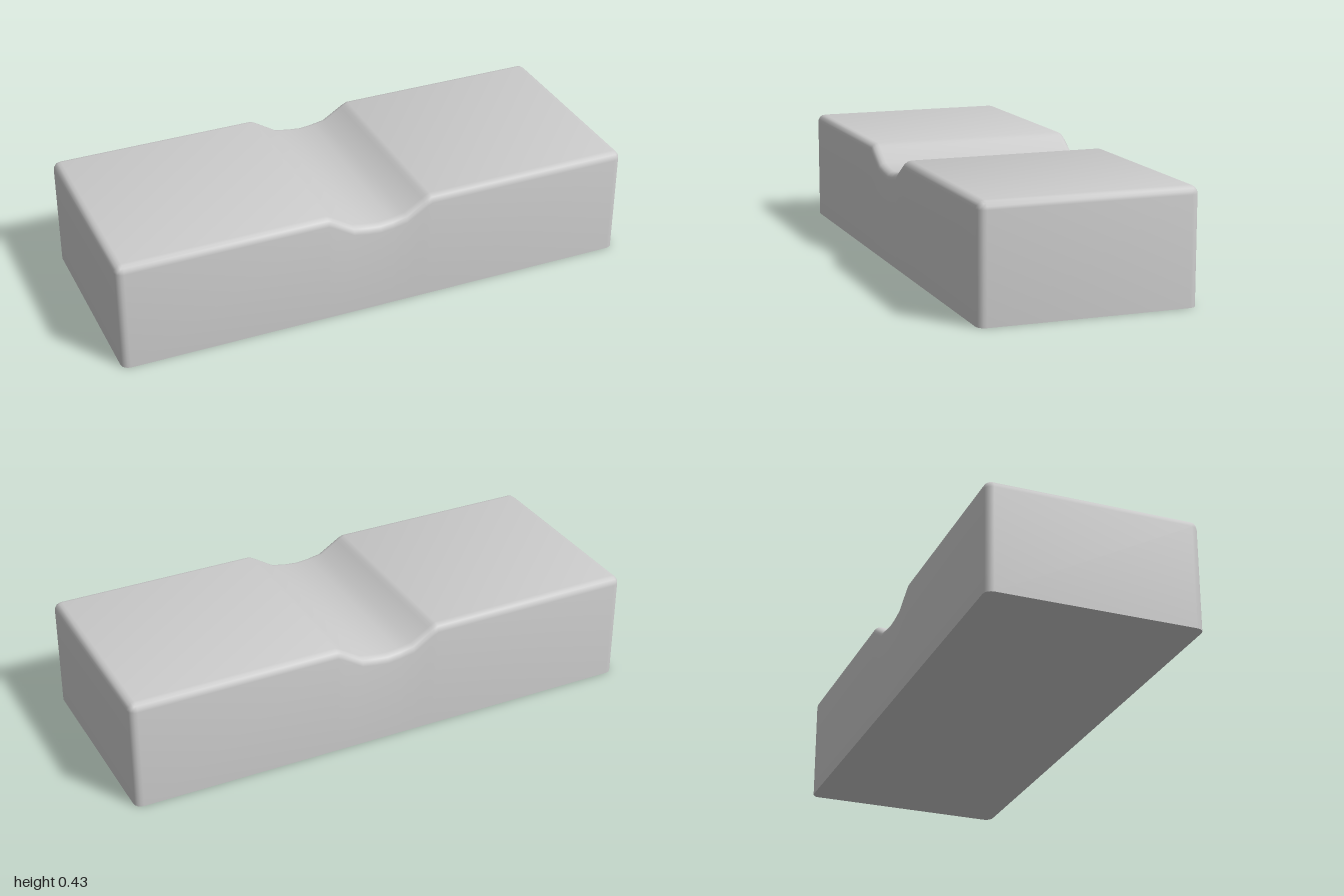
import * as THREE from 'three';
import { toCreasedNormals } from 'three/addons/utils/BufferGeometryUtils.js';

const HALF_X = 1, HALF_Z = 0.4, HEIGHT = 0.425, R = 0.03;

// Groove across the top: distance from the middle, depth below the top
const GROOVE = [[0, 0.075], [0.05, 0.07], [0.105, 0.06], [0.175, 0.016], [0.188, 0.008], [0.205, 0]];

function grooveDepth(x) {
  const a = Math.abs(x);
  for (let i = 1; i < GROOVE.length; i++) {
    const [x0, d0] = GROOVE[i - 1], [x1, d1] = GROOVE[i];
    if (a <= x1) return d0 + (d1 - d0) * (a - x0) / (x1 - x0);
  }
  return 0;
}

// Grid lines through a rounded end, measured from its outer face
const bevel = [0, R * (1 - Math.tan(Math.PI / 8)), R];
const mirrored = (list) => [...list.map((v) => -v), ...list.filter((v) => v > 0).reverse()];

function createBlockGeometry() {
  const xs = mirrored([...bevel.map((b) => HALF_X - b), ...GROOVE.map((g) => g[0]).reverse()]);
  const zs = mirrored(bevel.map((b) => HALF_Z - b));
  const ys = [0, ...bevel.map((b) => HEIGHT - b).reverse()];

  const geometry = new THREE.BoxGeometry(1, 1, 1, xs.length - 1, ys.length - 1, zs.length - 1);
  const pos = geometry.attributes.position;
  const pick = (list, v) => list[Math.round((v + 0.5) * (list.length - 1))];
  const p = new THREE.Vector3(), core = new THREE.Vector3(), d = new THREE.Vector3();
  const low = new THREE.Vector3(-HALF_X + R, 0, -HALF_Z + R);
  const high = new THREE.Vector3(HALF_X - R, HEIGHT - R, HALF_Z - R);

  for (let i = 0; i < pos.count; i++) {
    p.set(pick(xs, pos.getX(i)), pick(ys, pos.getY(i)), pick(zs, pos.getZ(i)));
    // Round the top and upright edges; the bottom rim stays sharp
    core.copy(p).clamp(low, high);
    d.subVectors(p, core);
    d.setLength(Math.max(Math.abs(d.x), Math.abs(d.y), Math.abs(d.z)));
    p.addVectors(core, d);
    // Sink the top and its rounded rim into the groove
    if (p.y > HEIGHT / 2) p.y -= grooveDepth(p.x);
    pos.setXYZ(i, p.x, p.y, p.z);
  }
  return toCreasedNormals(geometry, 0.8);
}

export function createModel() {
  const group = new THREE.Group();
  group.name = 'groovedBlock';
  const block = new THREE.Mesh(createBlockGeometry(), new THREE.MeshStandardMaterial({ color: 0xcccccc }));
  block.name = 'block';
  group.add(block);
  return group;
}
